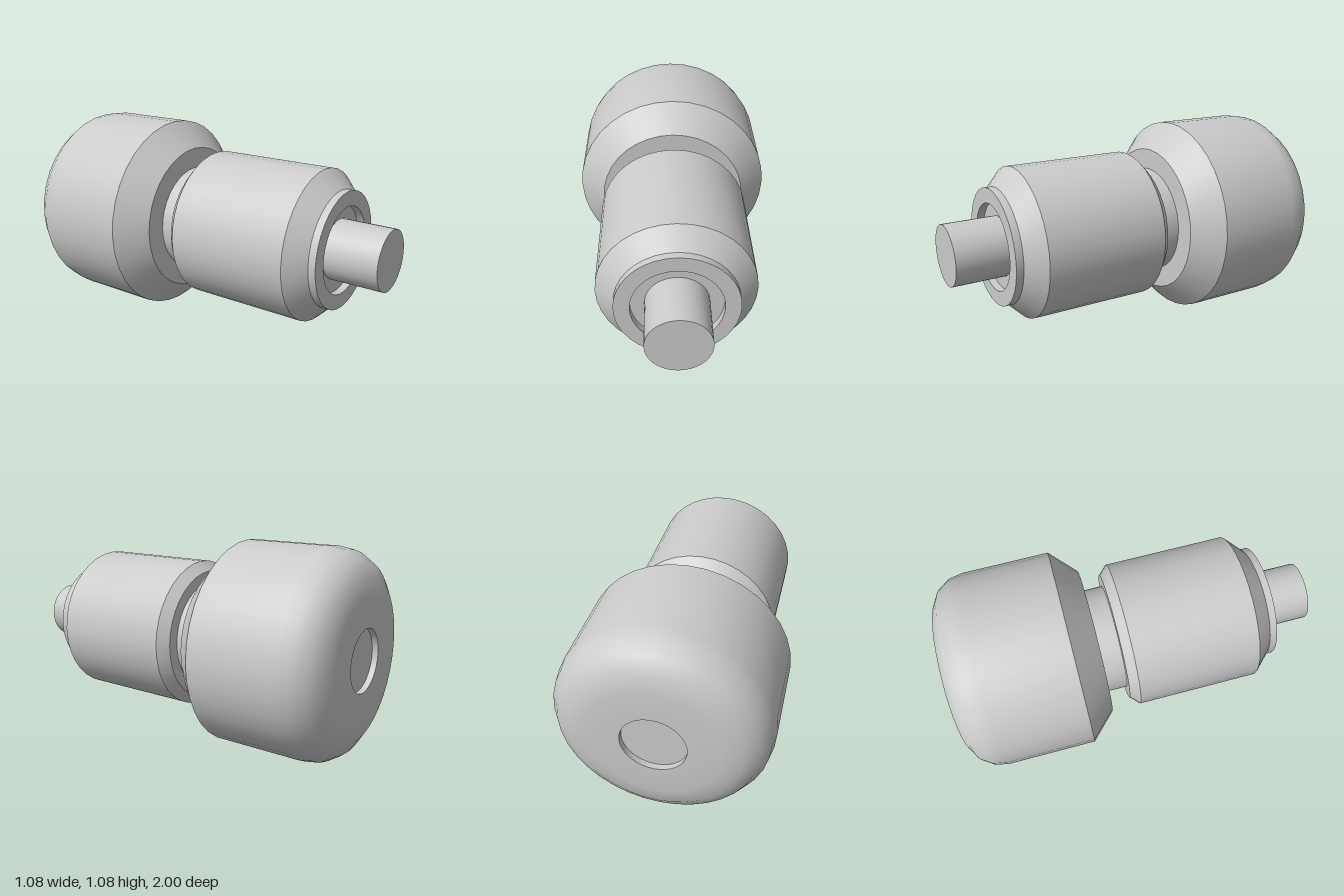
import * as THREE from 'three';
import { toCreasedNormals } from 'three/addons/utils/BufferGeometryUtils.js';

const RADIUS = 0.5375; // widest radius, also the height of the axis
const SIDES = 36;

// Turned part: profile of [radius, z] points, listed from back to front
function turned(name, profile, material) {
  const points = profile.map(([r, z]) => new THREE.Vector2(r, z));
  const lathe = new THREE.LatheGeometry(points, SIDES);
  const geometry = toCreasedNormals(lathe, THREE.MathUtils.degToRad(32));
  geometry.rotateX(Math.PI / 2);
  geometry.translate(0, RADIUS, 0);
  const mesh = new THREE.Mesh(geometry, material);
  mesh.name = name;
  return mesh;
}

export function createModel() {
  const group = new THREE.Group();
  group.name = 'turnedKnob';
  const material = new THREE.MeshStandardMaterial({ color: 0xcccccc });

  const parts = {
    // Large rounded knob with a shallow round recess at the back
    knob: [
      [0, -0.97], [0.16, -0.97], [0.16, -1],
      [0.32, -1], [0.41, -0.985], [0.48, -0.943], [0.524, -0.877], [RADIUS, -0.8],
      [RADIUS, -0.33], [0.4, -0.195], [0.29, -0.195],
    ],
    // Narrow neck between knob and body
    neck: [[0.29, -0.195], [0.29, -0.085]],
    // Main barrel, chamfered at both ends
    body: [
      [0.29, -0.085], [0.35, -0.085], [0.4, -0.035],
      [0.4, 0.625], [0.307, 0.718],
    ],
    // Front collar with a ring-shaped recess around the pin
    collar: [
      [0.307, 0.718], [0.307, 0.757], [0.228, 0.757],
      [0.228, 0.717], [0.158, 0.717],
    ],
    // Plunger pin
    pin: [[0.158, 0.717], [0.158, 1], [0, 1]],
  };

  for (const [name, profile] of Object.entries(parts)) {
    group.add(turned(name, profile, material));
  }
  return group;
}
